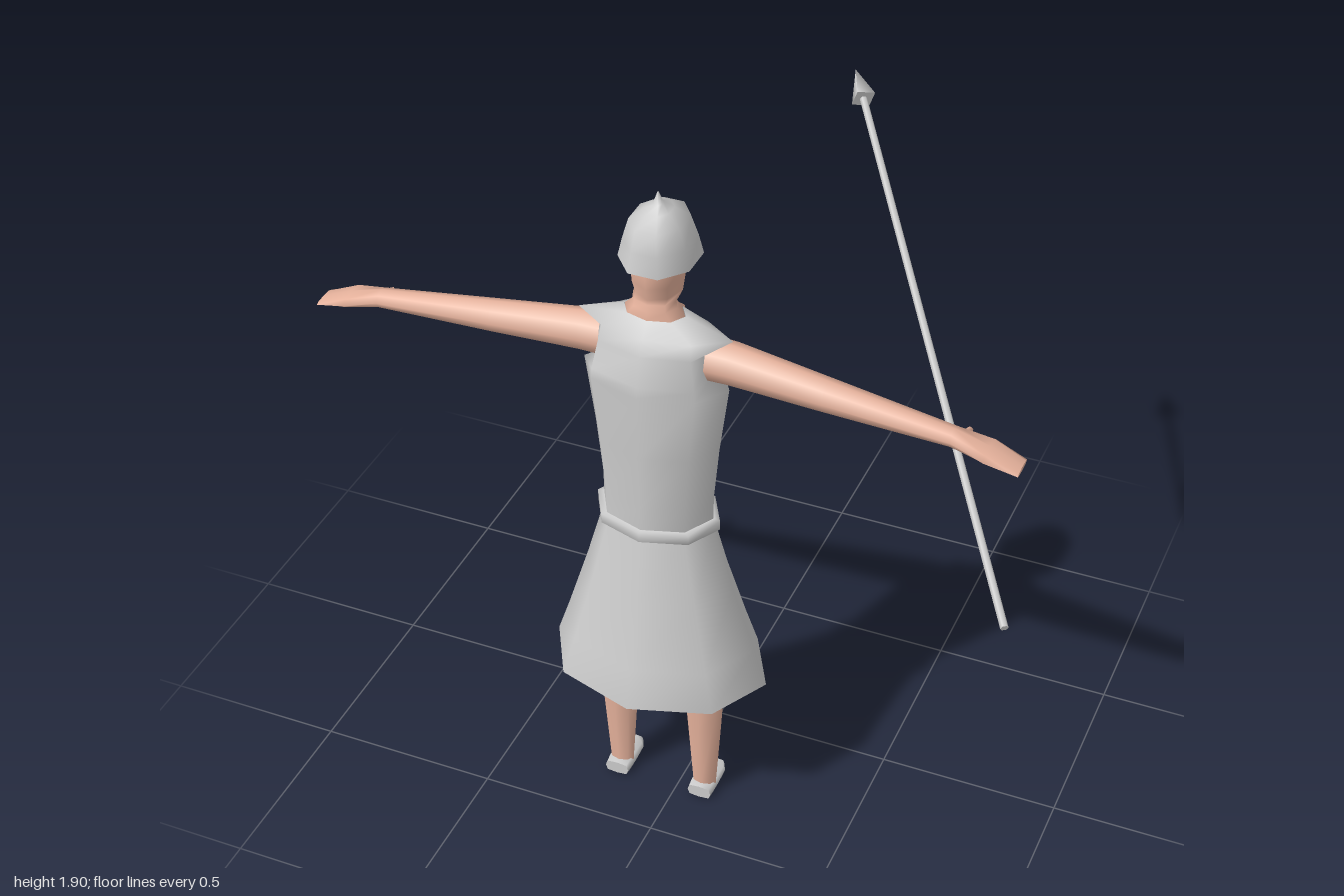
import * as THREE from 'three';

const material = (name, color) => {
  const m = new THREE.MeshStandardMaterial({ color, side: THREE.DoubleSide });
  m.name = name;
  return m;
};

// Smooth skin over a list of equal rings; caps get their own vertices.
function loft(rings, capped = true) {
  const n = rings[0].length, pos = rings.flat(2), index = [];
  for (let r = 0; r < rings.length - 1; r++) {
    for (let i = 0; i < n; i++) {
      const a = r * n + i, b = r * n + (i + 1) % n;
      index.push(a, a + n, b, b, a + n, b + n);
    }
  }
  if (capped) {
    [rings[0], rings[rings.length - 1]].forEach((ring, end) => {
      const s = pos.length / 3;
      pos.push(...ring.flat());
      for (let i = 1; i < n - 1; i++) {
        if (end) index.push(s, s + i + 1, s + i);
        else index.push(s, s + i, s + i + 1);
      }
    });
  }
  const g = new THREE.BufferGeometry();
  g.setAttribute('position', new THREE.Float32BufferAttribute(pos, 3));
  g.setIndex(index);
  g.computeVertexNormals();
  return g;
}

const angles = (n, turn = 0) => Array.from({ length: n }, (_, i) => turn + (i / n) * Math.PI * 2);
const boxy = v => Math.sign(v) * Math.sqrt(Math.abs(v));

// Horizontal ellipse; tip replaces the radius at the two side points.
const ringY = (y, rx, rz, cz = 0, tip = rx, turn = 0) => angles(8, turn).map((a, i) =>
  [Math.cos(a) * (i % 4 === 0 ? tip : rx), y, cz + Math.sin(a) * rz]);
const ringX = (x, y, ry, rz, cz) => angles(8).map(a => [x, y + Math.cos(a) * ry, cz - Math.sin(a) * rz]);
// Flat-soled shoe section.
const ringZ = (z, w, h) => angles(8).map(a => [boxy(Math.cos(a)) * w, h * (0.5 + 0.5 * boxy(Math.sin(a))), z]);

function add(parent, name, geometry, mat) {
  const mesh = new THREE.Mesh(geometry, mat);
  mesh.name = name;
  parent.add(mesh);
  return mesh;
}

// Tapered rod between two points.
function rod(parent, name, a, b, r0, r1, sides, mat) {
  const from = new THREE.Vector3(...a), to = new THREE.Vector3(...b);
  const dir = to.clone().sub(from);
  const mesh = add(parent, name, new THREE.CylinderGeometry(r1, r0, dir.length(), sides), mat);
  mesh.position.copy(from).add(to).multiplyScalar(0.5);
  mesh.quaternion.setFromUnitVectors(new THREE.Vector3(0, 1, 0), dir.normalize());
}

export function createModel() {
  const model = new THREE.Group();
  model.name = 'spearman';
  const skin = material('skin', 0xe6b29c);
  const cloth = material('light grey', 0xcccccc);

  // The figure faces -z and stands off centre beside its spear.
  const body = new THREE.Group();
  body.name = 'body';
  body.position.set(-0.05, 0, 0.297);
  model.add(body);

  // Flared skirt with a turned-in hem, belt and tunic
  add(body, 'skirt', loft([
    ringY(0.56, 0.256, 0.188), ringY(0.45, 0.296, 0.221), ringY(0.45, 0.305, 0.23), ringY(0.56, 0.268, 0.2),
    ringY(0.75, 0.208, 0.153), ringY(0.945, 0.152, 0.118),
  ], false), cloth);
  add(body, 'belt', loft([
    ringY(0.938, 0.154, 0.118), ringY(0.941, 0.172, 0.127), ringY(0.969, 0.172, 0.127), ringY(0.972, 0.155, 0.116),
  ]), cloth);
  add(body, 'tunic', loft([
    ringY(0.96, 0.154, 0.115), ringY(1.04, 0.155, 0.115), ringY(1.2, 0.171, 0.116), ringY(1.39, 0.197, 0.121),
    ringY(1.42, 0.195, 0.118, 0, 0.152), ringY(1.5, 0.175, 0.1, 0, 0.152),
    ringY(1.538, 0.17, 0.08, 0, 0.207), ringY(1.58, 0.082, 0.054),
  ], false), cloth);

  // Open V of the neckline
  const vNeck = new THREE.BufferGeometry();
  vNeck.setAttribute('position', new THREE.Float32BufferAttribute([
    0, 1.582, -0.06, 0.06, 1.582, -0.044, 0.05, 1.535, -0.078,
    0, 1.535, -0.088, 0, 1.46, -0.115, -0.05, 1.535, -0.078, -0.06, 1.582, -0.044,
  ], 3));
  vNeck.setIndex([0, 1, 2, 0, 2, 3, 3, 2, 4, 3, 4, 5, 0, 3, 5, 0, 5, 6]);
  vNeck.computeVertexNormals();
  add(body, 'neckline', vNeck, skin);

  // Neck, jaw and face
  add(body, 'head', loft([
    ringY(1.55, 0.08, 0.053), ringY(1.581, 0.08, 0.053), ringY(1.6, 0.06, 0.048), ringY(1.62, 0.058, 0.045),
    ringY(1.632, 0.06, 0.077, -0.035), ringY(1.67, 0.066, 0.088, -0.032),
    ringY(1.73, 0.073, 0.091, -0.034), ringY(1.8, 0.06, 0.075, -0.037),
  ]), skin);
  const nose = add(body, 'nose', new THREE.ConeGeometry(0.016, 0.05, 4), skin);
  nose.position.set(0, 1.685, -0.115);
  nose.rotation.x = -0.25;

  // Helmet with a small spike
  const helmetRing = (y, rx, rz, cz) => ringY(y, rx * 1.08, rz * 1.08, cz, rx * 1.08, Math.PI / 8);
  add(body, 'helmet', loft([
    helmetRing(1.717, 0.095, 0.11, -0.04), helmetRing(1.77, 0.083, 0.099, -0.04),
    helmetRing(1.825, 0.067, 0.086, -0.037), helmetRing(1.853, 0.034, 0.043, -0.034),
    helmetRing(1.868, 0.012, 0.014, -0.032), helmetRing(1.9, 0.001, 0.001, -0.03),
  ], false), cloth);

  // Limbs, built on +x and mirrored
  const armShape = loft([
    ringX(0.1, 1.462, 0.055, 0.062, -0.018), ringX(0.2, 1.46, 0.053, 0.058, -0.018),
    ringX(0.45, 1.437, 0.042, 0.046, -0.014), ringX(0.775, 1.409, 0.024, 0.031, -0.009),
    ringX(0.865, 1.388, 0.017, 0.052, -0.012), ringX(0.95, 1.364, 0.006, 0.038, -0.009),
  ]);
  const legShape = loft([
    ringY(0.03, 0.034, 0.026), ringY(0.25, 0.05, 0.039), ringY(0.45, 0.063, 0.049), ringY(0.75, 0.068, 0.06),
  ]);
  const shoeShape = loft([
    ringZ(0.04, 0.034, 0.038), ringZ(0.015, 0.036, 0.042), ringZ(-0.025, 0.036, 0.038),
    ringZ(-0.07, 0.033, 0.03), ringZ(-0.097, 0.02, 0.025),
  ]);
  for (const [label, s] of [['left', 1], ['right', -1]]) {
    const limbs = new THREE.Group();
    limbs.name = label + 'Limbs';
    limbs.scale.x = s;
    body.add(limbs);
    add(limbs, 'arm', armShape, skin);
    rod(limbs, 'thumb', [0.795, 1.395, -0.025], [0.79, 1.376, -0.092], 0.019, 0.009, 5, skin);
    add(limbs, 'leg', legShape, skin).position.x = 0.125;
    add(limbs, 'shoe', shoeShape, cloth).position.x = 0.125;
  }

  // Spear lying slanted across the hand
  const spear = new THREE.Group();
  spear.name = 'spear';
  model.add(spear);
  const tail = new THREE.Vector3(0.992, 1.21, 0.685), tip = new THREE.Vector3(0.102, 1.77, -0.69);
  const neck = tail.clone().lerp(tip, 0.94);
  rod(spear, 'shaft', tail.toArray(), neck.toArray(), 0.01, 0.01, 6, cloth);
  rod(spear, 'spearhead', neck.toArray(), tip.toArray(), 0.035, 0, 4, cloth);

  return model;
}
